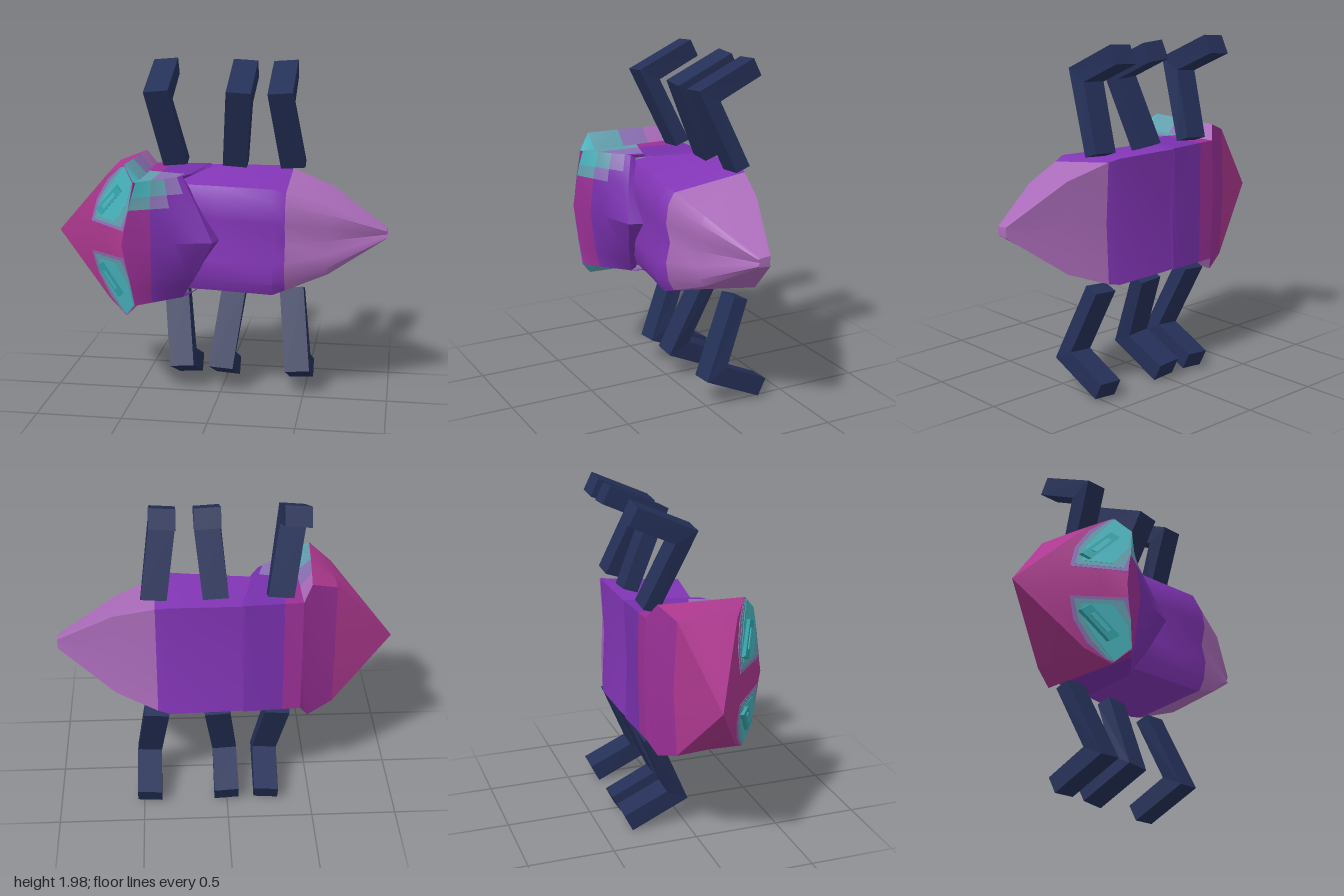
import * as THREE from 'three';
import { toCreasedNormals } from 'three/addons/utils/BufferGeometryUtils.js';

const colour = (name, hex) => {
  const m = new THREE.MeshStandardMaterial({ color: hex });
  m.name = name;
  return m;
};

export function createModel() {
  const mats = [
    colour('magenta', 0xac388e), colour('plum', 0x9a3096), colour('violet', 0x7830ac),
    colour('purple', 0x8436b8), colour('lilac', 0xab6cba), colour('teal', 0x48b5bf),
    colour('mutedTeal', 0x629fae), colour('mutedViolet', 0x8a70b4),
    colour('navy', 0x253058), colour('darkTeal', 0x34a4aa),
  ];
  const [MAGENTA, PLUM, VIOLET, PURPLE, LILAC, TEAL, MUTED_TEAL, MUTED_VIOLET, NAVY, DARK_TEAL] = mats.keys();
  const model = new THREE.Group();
  const add = (name, geometry, material) => {
    const mesh = new THREE.Mesh(geometry, material);
    mesh.name = name;
    model.add(mesh);
  };

  // Full ring from the upper half: back edge round the front to the centre line, then mirrored
  const ring = (half, back) => [
    ...half,
    ...half.slice(0, -1).reverse().map(([x, y, z]) => [x, -y, z]),
    back,
  ];

  // Skin over rings running towards +x. pick(row, column, mirrored) gives the colour of each face,
  // where mirrored counts columns alike above and below and is negative on the back
  const loft = (name, rings, pick, crease = 0.5) => {
    const pos = [], ids = [];
    const n = rings[0].length;
    for (let i = 0; i < rings.length - 1; i++) {
      for (let j = 0; j < n; j++) {
        const k = (j + 1) % n;
        const [a, b, c, d] = [rings[i][j], rings[i][k], rings[i + 1][k], rings[i + 1][j]];
        for (const p of [a, b, c, a, c, d]) pos.push(p[0], p[1] + 1, p[2]);
        ids.push(pick(i, j, Math.min(j, n - 3 - j)));
      }
    }
    let g = new THREE.BufferGeometry();
    g.setAttribute('position', new THREE.Float32BufferAttribute(pos, 3));
    g = toCreasedNormals(g, crease);
    ids.forEach((id, q) => g.addGroup(q * 6, 6, id));
    add(name, g, mats);
  };

  // Head: a flared wedge ending in a pointed snout, with a glowing collar behind the flare
  const snout = [-0.98, -0.02, -0.04];
  const collar = [LILAC, MUTED_VIOLET, MUTED_TEAL, TEAL, PLUM];
  loft('head', [
    Array(12).fill(snout),
    ring([[-0.63, 0.39, -0.17], [-0.63, 0.384, -0.06], [-0.63, 0.378, 0.06], [-0.63, 0.37, 0.174],
      [-0.63, 0.26, 0.203], [-0.63, 0, 0.266]], [-0.63, 0, -0.19]),
    ring([[-0.48, 0.445, -0.23], [-0.49, 0.445, -0.09], [-0.5, 0.445, 0.07], [-0.51, 0.445, 0.264],
      [-0.44, 0.36, 0.345], [-0.51, 0, 0.37]], [-0.48, 0, -0.27]),
    ring([[-0.43, 0.36, -0.28], [-0.425, 0.36, -0.1], [-0.42, 0.36, 0.07], [-0.42, 0.36, 0.26],
      [-0.425, 0.355, 0.33], [-0.5, 0, 0.36]], [-0.42, 0, -0.295]),
  ], (row, col, side) => {
    if (row === 2) return collar[side] ?? PLUM;
    return row === 1 && side < 0 ? PLUM : MAGENTA;
  }, 0.4);

  // Plates lying on the sloping face, one above and one below the centre line
  const facePlate = (name, points, depth, id) => {
    for (const s of [1, -1]) {
      const shape = new THREE.Shape(points.map(([x, y]) => new THREE.Vector2(x, y * s)));
      const g = new THREE.ExtrudeGeometry(shape, { depth, bevelEnabled: false });
      const p = g.attributes.position;
      for (let i = 0; i < p.count; i++) {
        const x = p.getX(i), y = p.getY(i);
        p.setXYZ(i, x, y + 1, 0.815 + 0.872 * x - 0.24 * Math.abs(y) + p.getZ(i));
      }
      g.computeVertexNormals();
      add(name, g, mats[id]);
    }
  };
  facePlate('eyePatchOuter', [[-0.735, 0.09], [-0.7, 0.22], [-0.625, 0.345], [-0.54, 0.425], [-0.505, 0.438],
    [-0.445, 0.355], [-0.47, 0.2], [-0.5, 0.08]], 0.004, MUTED_VIOLET);
  facePlate('eyePatchMiddle', [[-0.715, 0.105], [-0.68, 0.225], [-0.61, 0.335], [-0.53, 0.425], [-0.505, 0.436],
    [-0.445, 0.355], [-0.472, 0.2], [-0.515, 0.1]], 0.006, MUTED_TEAL);
  facePlate('eyePatchInner', [[-0.685, 0.13], [-0.65, 0.24], [-0.585, 0.335], [-0.51, 0.432],
    [-0.45, 0.36], [-0.478, 0.24], [-0.56, 0.125]], 0.009, TEAL);
  const slit = (l, w) => {
    const [ux, uy] = [0.66, 0.75];
    return [[-1, -1], [1, -1], [1, 1], [-1, 1]].map(([a, b]) =>
      [-0.605 + a * l * ux - b * w * uy, 0.235 + a * l * uy + b * w * ux]);
  };
  facePlate('eye', slit(0.107, 0.024), 0.03, DARK_TEAL);
  facePlate('eyeSlit', slit(0.06, 0.01), 0.036, TEAL);

  // Thorax hood: its front edge comes to a point over the abdomen
  const start = ring([[-0.43, 0.36, -0.28], [-0.43, 0.36, -0.02], [-0.43, 0.36, 0.335],
    [-0.455, 0.27, 0.35], [-0.47, 0.2, 0.358], [-0.51, 0, 0.37]], [-0.43, 0, -0.295]);
  const rim = ring([[-0.1, 0.36, -0.3], [-0.17, 0.36, 0.06], [-0.2, 0.36, 0.13],
    [-0.15, 0.27, 0.165], [-0.11, 0.2, 0.19], [-0.01, 0, 0.24]], [-0.1, 0, -0.285]);
  const tuck = ring([[-0.08, 0.35, -0.29], [-0.16, 0.35, 0.04], [-0.2, 0.34, 0.1],
    [-0.14, 0.26, 0.12], [-0.1, 0.19, 0.14], [0.02, 0, 0.15]], [-0.08, 0, -0.275]);
  const between = t => start.map((p, j) => p.map((v, k) => v + (rim[j][k] - v) * t));
  // Glow fading away from the upper eye only
  const glow = [
    { 1: MUTED_TEAL, 2: TEAL, 3: MUTED_TEAL },
    { 1: MUTED_VIOLET, 2: MUTED_TEAL, 3: MUTED_VIOLET },
    { 1: MUTED_VIOLET, 2: MUTED_VIOLET },
  ];
  loft('thorax', [0, 0.32, 0.6, 0.88, 1].map(between).concat([tuck]),
    (row, col) => glow[row]?.[col] ?? (row === 0 ? PLUM : VIOLET));

  // Abdomen: x, back half height, back z, front half height, edge z, ridge z, centre z
  const section = ([x, hb, zb, hf, zf, zr, zc], lift = 0) =>
    ring([[x, hb, zb], [x, hf, zf], [x, hf * 0.78, (zf + zr) / 2 + 0.01], [x, hf * 0.4, zr], [x, 0, zc]],
      [x, 0, zb + hb * 0.05]).map(([px, y, z]) => [px, y + lift, z]);
  const joint = section([0.4, 0.345, -0.29, 0.285, 0.16, 0.21, 0.185]);
  loft('abdomen', [
    section([-0.25, 0.352, -0.29, 0.31, 0.1, 0.14, 0.12]),
    section([0, 0.357, -0.3, 0.31, 0.13, 0.18, 0.155]),
    section([0.33, 0.36, -0.305, 0.31, 0.18, 0.23, 0.2]),
    joint,
  ], () => PURPLE, 0.6);
  loft('tail', [
    joint,
    section([0.64, 0.26, -0.225, 0.2, 0.1, 0.135, 0.115], 0.005),
    section([0.97, 0.03, -0.11, 0.025, -0.05, -0.04, -0.045], 0.018),
    Array(10).fill([0.972, 0.018, -0.075]),
  ], () => LILAC, 0.6);

  // Legs: bent bars, each leaning sideways between hip and knee
  const bend = [[-0.19, 1.365], [0.015, 1.83], [-0.325, 1.985], [-0.375, 1.885], [-0.115, 1.765], [-0.275, 1.395]];
  const leg = (name, hipX, lean, side) => {
    const shape = new THREE.Shape(bend.map(([z, y]) => new THREE.Vector2(z, (y - 1) * side)));
    const g = new THREE.ExtrudeGeometry(shape, { depth: 0.145, bevelEnabled: false });
    g.translate(0, 0, -0.0725).rotateY(-Math.PI / 2);
    const p = g.attributes.position;
    for (let i = 0; i < p.count; i++) {
      const x = p.getX(i), y = p.getY(i);
      const t = THREE.MathUtils.clamp((Math.abs(y) - 0.38) / 0.41, 0, 1);
      p.setX(i, x + hipX + lean * t);
      p.setY(i, y + 1 - side * lean * 1.2 * x);
    }
    g.computeVertexNormals();
    add(name, g, mats[NAVY]);
  };
  [[-0.3, -0.077, 0.067], [0.058, 0.047, -0.054], [0.407, -0.062, 0.058]].forEach(([x, up, down], i) => {
    const place = ['front', 'middle', 'rear'][i];
    leg(place + 'UpperLeg', x, up, 1);
    leg(place + 'LowerLeg', x, down, -1);
  });

  return model;
}
